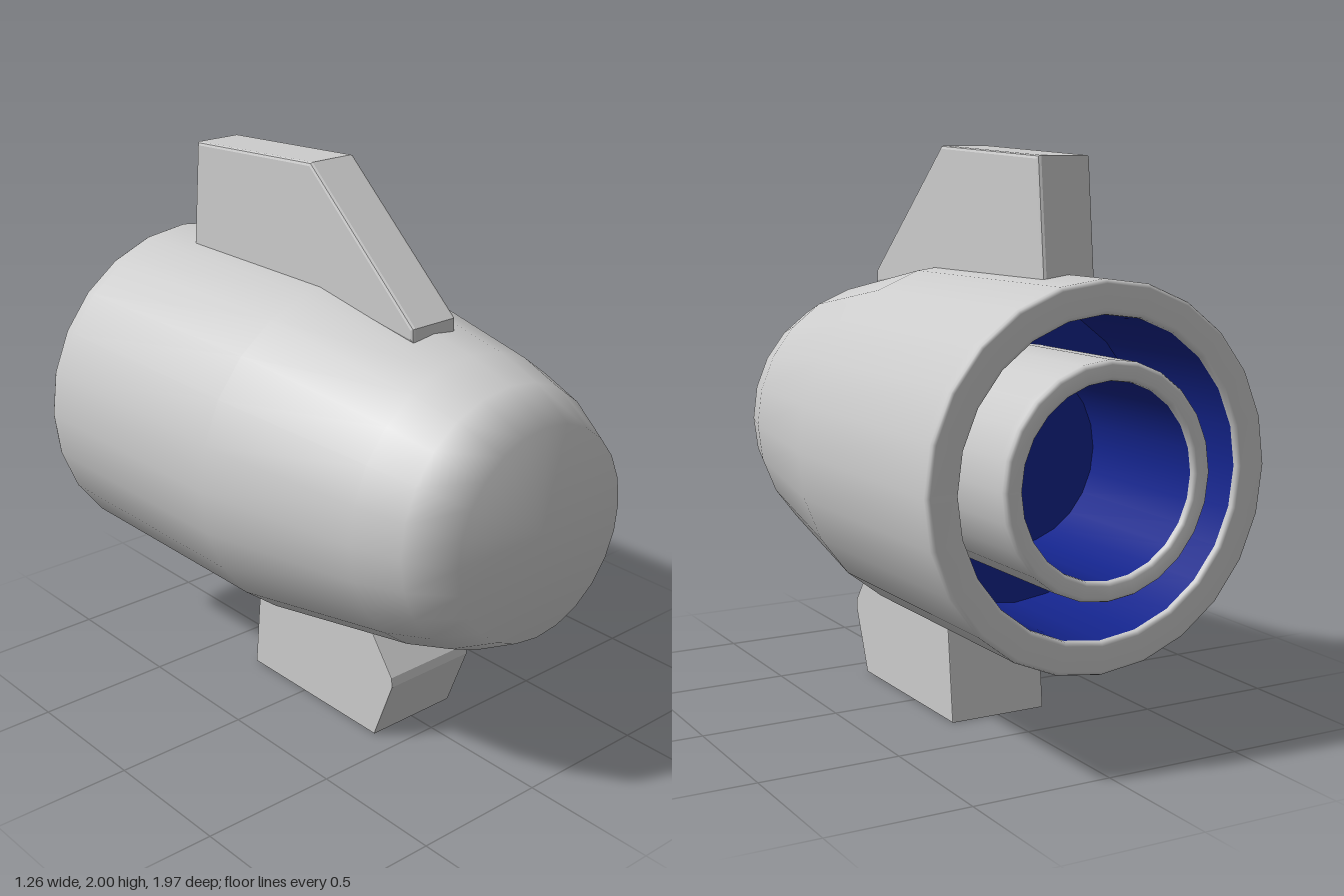
import * as THREE from 'three';

const AXIS_Y = 0.955; // height of the body's centre line
const SIDES = 24;

const grey = new THREE.MeshStandardMaterial({ color: 0xcccccc });
const navy = new THREE.MeshStandardMaterial({ color: 0x14248c });

// Surface of revolution about the z axis; profile points are [radius, z]
function turned(name, profile, material) {
  const points = profile.map(([r, z]) => new THREE.Vector2(r, z));
  const geometry = new THREE.LatheGeometry(points, SIDES);
  geometry.rotateX(Math.PI / 2);
  const mesh = new THREE.Mesh(geometry, material);
  mesh.name = name;
  mesh.position.y = AXIS_Y;
  return mesh;
}

// Slab with a side outline of [z, y] points, centred on x = 0
function fin(name, outline, width, bevel) {
  const shape = new THREE.Shape(outline.map(([z, y]) => new THREE.Vector2(z, y)));
  const geometry = new THREE.ExtrudeGeometry(shape, {
    depth: width - 2 * bevel,
    bevelEnabled: true,
    bevelThickness: bevel,
    bevelSize: bevel,
    bevelOffset: -bevel,
    bevelSegments: 2,
  });
  geometry.translate(0, 0, bevel - width / 2);
  geometry.rotateY(-Math.PI / 2);
  const mesh = new THREE.Mesh(geometry, grey);
  mesh.name = name;
  return mesh;
}

export function createModel() {
  const model = new THREE.Group();
  model.name = 'enginePod';

  // Outer body: rounded rear lip, straight barrel, tapering nose with a flat tip
  model.add(turned('bodyShell', [
    [0.52, -0.93], [0.522, -0.943], [0.535, -0.95], [0.618, -0.95], [0.628, -0.945], [0.632, -0.935],
    [0.632, -0.9], [0.632, 0], [0.52, 0.64], [0.465, 0.82], [0.375, 0.985], [0, 0.985],
  ], grey));

  // Dark cavity: wall of the rear opening, then its floor
  model.add(turned('cavityWall', [[0.52, -0.4], [0.52, -0.93]], navy));
  model.add(turned('cavityFloor', [[0, -0.4], [0.52, -0.4]], navy));

  // Exhaust tube inside the cavity, standing slightly proud of the body
  model.add(turned('exhaustTube', [
    [0.318, -0.965], [0.32, -0.978], [0.332, -0.985], [0.37, -0.985], [0.38, -0.98], [0.385, -0.97],
    [0.385, -0.94], [0.385, -0.4],
  ], grey));
  model.add(turned('exhaustLining', [[0.318, -0.4], [0.318, -0.965]], navy));

  // Swept fin on top
  model.add(fin('topFin', [
    [0.47, 1.49], [0.47, 1.54], [-0.05, 2.0], [-0.695, 1.963], [-0.735, 1.55], [0, 1.55],
  ], 0.195, 0.012));

  // Mounting foot underneath
  model.add(fin('mountFoot', [
    [0.395, 0], [0.488, 0.235], [0.483, 0.27], [0.365, 0.43], [0, 0.375], [-0.255, 0.375], [-0.293, 0],
  ], 0.37, 0.003));

  return model;
}
